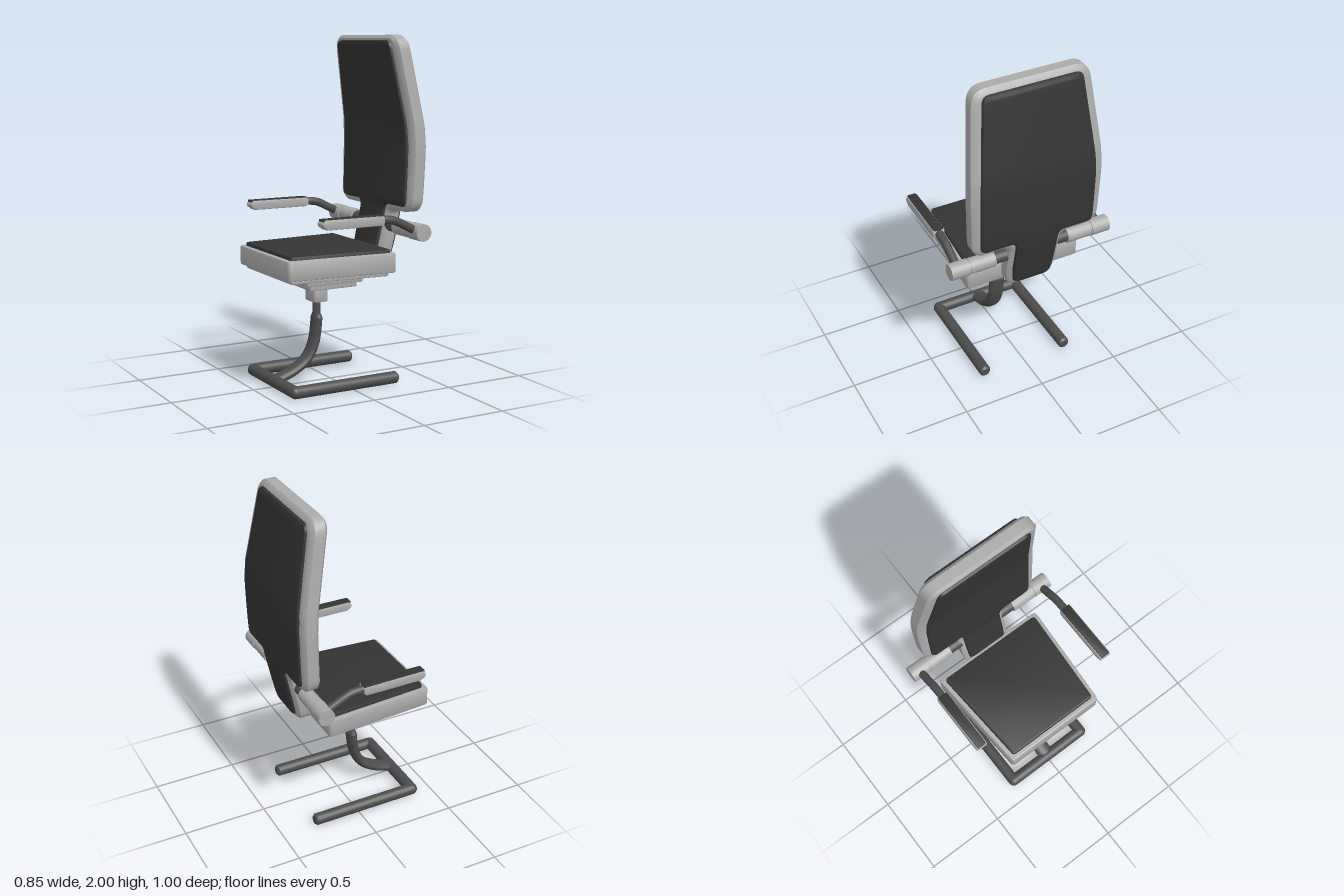
import * as THREE from 'three';
import { toCreasedNormals } from 'three/addons/utils/BufferGeometryUtils.js';

const mat = (name, color) => {
  const m = new THREE.MeshStandardMaterial({ color });
  m.name = name;
  return m;
};

// Backrest centre line: [y, x]
const SPINE = [[0.67, 0.27], [1.0, 0.343], [1.2, 0.352], [1.38, 0.357], [1.5, 0.351], [2.0, 0.265]];
function spineX(y) {
  let i = 0;
  while (i < SPINE.length - 2 && y > SPINE[i + 1][0]) i++;
  const [[y0, x0], [y1, x1]] = [SPINE[i], SPINE[i + 1]];
  return x0 + ((x1 - x0) * (y - y0)) / (y1 - y0);
}

// Half outline [z, y, radius] with rounded corners and subdivided straight runs
function roundPath(corners) {
  const pts = [new THREE.Vector2(corners[0][0], corners[0][1])];
  const lineTo = (p) => {
    const a = pts[pts.length - 1].clone();
    const n = Math.max(1, Math.ceil(a.distanceTo(p) / 0.05));
    for (let k = 1; k <= n; k++) pts.push(a.clone().lerp(p, k / n));
  };
  corners.slice(1).forEach(([z, y, r], j) => {
    const c = new THREE.Vector2(z, y);
    if (!r) return lineTo(c);
    const toward = (q) => new THREE.Vector2(q[0], q[1]).sub(c).setLength(r).add(c);
    const p1 = toward(corners[j]), p2 = toward(corners[j + 2]);
    lineTo(p1);
    pts.push(...new THREE.QuadraticBezierCurve(p1, c, p2).getPoints(6).slice(1));
  });
  return pts;
}

// Mirrored outline swept through [inset, dx] sections and bent along the spine
function bentSlab(corners, sections) {
  const half = roundPath(corners);
  const loop = [...half, ...half.slice(1, -1).reverse().map((p) => new THREE.Vector2(-p.x, p.y))];
  const N = loop.length, pos = [], idx = [];
  for (const [inset, dx] of sections) {
    loop.forEach((p, i) => {
      const t = loop[(i + 1) % N].clone().sub(loop[(i + N - 1) % N]).normalize();
      const z = p.x - t.y * inset, y = p.y + t.x * inset;
      pos.push(spineX(y) + dx, y, z);
    });
  }
  for (let s = 0; s < sections.length - 1; s++) {
    for (let i = 0; i < N; i++) {
      const a = s * N + i, b = s * N + ((i + 1) % N), c = b + N, d = a + N;
      idx.push(a, d, c, a, c, b);
    }
  }
  const last = (sections.length - 1) * N;
  const tri = (a, b, c) => {
    if (a === b || b === c || a === c) return;
    idx.push(last + a, last + b, last + c, a, c, b);
  };
  for (let i = 0; i < half.length - 1; i++) {
    const l0 = (N - i) % N, l1 = N - i - 1;
    tri(i, l0, l1);
    tri(i, l1, i + 1);
  }
  const g = new THREE.BufferGeometry();
  g.setAttribute('position', new THREE.Float32BufferAttribute(pos, 3));
  g.setIndex(idx);
  return toCreasedNormals(g, 0.7);
}

// Horizontal plate: trapezoid plan (half depth h0 at x0, h1 at x1) with soft corners
function plate(x0, x1, h0, h1, y0, y1, bevel, corner) {
  const c = corner, s = new THREE.Shape();
  s.moveTo(x0 + c, -h0);
  s.lineTo(x1 - c, -h1);
  s.quadraticCurveTo(x1, -h1, x1, -h1 + c);
  s.lineTo(x1, h1 - c);
  s.quadraticCurveTo(x1, h1, x1 - c, h1);
  s.lineTo(x0 + c, h0);
  s.quadraticCurveTo(x0, h0, x0, h0 - c);
  s.lineTo(x0, -h0 + c);
  s.quadraticCurveTo(x0, -h0, x0 + c, -h0);
  const g = new THREE.ExtrudeGeometry(s, {
    depth: y1 - y0 - 2 * bevel, bevelThickness: bevel, bevelSize: bevel,
    bevelOffset: -bevel, bevelSegments: 2, curveSegments: 4,
  });
  g.rotateX(-Math.PI / 2);
  g.translate(0, y0 + bevel, 0);
  return toCreasedNormals(g, 0.6);
}

export function createModel() {
  const chair = new THREE.Group();
  chair.name = 'officeChair';
  const shell = mat('light grey shell', 0xababab);
  const fabric = mat('dark upholstery', 0x343434);
  const metal = mat('dark grey metal', 0x4c4c4c);

  const add = (name, geo, material, parent = chair) => {
    const m = new THREE.Mesh(geo, material);
    m.name = name;
    parent.add(m);
    return m;
  };
  const v = (x, y, z) => new THREE.Vector3(x, y, z);
  const rod = (name, a, b, r, material, parent = chair) => {
    const m = add(name, new THREE.CylinderGeometry(r, r, a.distanceTo(b), 20), material, parent);
    m.position.copy(a).lerp(b, 0.5);
    m.quaternion.setFromUnitVectors(v(0, 1, 0), b.clone().sub(a).normalize());
    return m;
  };

  // Backrest: shell frame with a pad showing on both faces
  const back = new THREE.Group();
  back.name = 'backrest';
  back.position.z = -0.004;
  chair.add(back);
  add('backFrame', bentSlab(
    [[0, 0.67], [0.14, 0.67, 0.06], [0.157, 0.8, 0.05], [0.157, 1.005, 0.05],
      [0.39, 1.005, 0.085], [0.402, 1.42, 0.12], [0.342, 2.0, 0.085], [0, 2.0]],
    [[0.045, -0.05], [0.018, -0.047], [0, -0.03], [0, 0.03], [0.018, 0.047], [0.045, 0.05]]), shell, back);
  add('backPad', bentSlab(
    [[0, 0.7], [0.115, 0.7, 0.04], [0.13, 0.8, 0.05], [0.132, 1.035, 0.04],
      [0.35, 1.035, 0.045], [0.353, 1.42, 0.1], [0.295, 1.97, 0.045], [0, 1.97]],
    [[0.025, -0.067], [0.006, -0.062], [0, -0.05], [0, 0.05], [0.006, 0.062], [0.025, 0.067]]), fabric, back);

  // Seat
  const seat = new THREE.Group();
  seat.name = 'seat';
  seat.position.z = -0.006;
  chair.add(seat);
  add('seatShell', plate(-0.43, 0.235, 0.318, 0.36, 0.67, 0.782, 0.008, 0.025), shell, seat);
  add('seatPad', plate(-0.403, 0.21, 0.293, 0.333, 0.76, 0.802, 0.008, 0.02), fabric, seat);
  add('seatUnderside', plate(-0.4, 0.205, 0.29, 0.33, 0.648, 0.68, 0.005, 0.02), shell, seat);

  // Stepped mount and column below the seat
  add('upperMountPlate', plate(-0.27, 0.09, 0.228, 0.228, 0.61, 0.66, 0.005, 0.015), shell);
  add('lowerMountPlate', plate(-0.24, 0.065, 0.2, 0.2, 0.58, 0.62, 0.005, 0.015), shell);
  add('columnSleeve', plate(-0.138, -0.044, 0.06, 0.06, 0.477, 0.59, 0.003, 0.02), shell);
  rod('columnRod', v(-0.092, 0.36, 0), v(-0.092, 0.49, 0), 0.023, metal);

  // Curved flattened stem
  const stemPath = new THREE.CatmullRomCurve3([
    v(-0.092, 0.38, 0), v(-0.096, 0.33, 0), v(-0.112, 0.235, 0),
    v(-0.158, 0.145, 0), v(-0.24, 0.085, 0), v(-0.37, 0.036, 0)]);
  add('stem', new THREE.TubeGeometry(stemPath, 32, 0.029, 20), metal).scale.z = 1.7;
  const stemTop = add('stemTop', new THREE.CylinderGeometry(0.022, 0.029, 0.022, 20), metal);
  stemTop.position.set(-0.092, 0.39, 0);
  stemTop.scale.z = 1.7;

  // U-shaped floor base
  const R = 0.035, legZ = 0.27;
  rod('baseCrossbar', v(-0.37, R, -legZ), v(-0.37, R, legZ), R, metal);

  for (const side of [1, -1]) {
    const label = side > 0 ? 'left' : 'right';
    rod(label + 'BaseLeg', v(-0.37, R, side * legZ), v(0.28, R, side * legZ), R, metal);
    add(label + 'BaseCorner', new THREE.SphereGeometry(R, 20, 12), metal).position.set(-0.37, R, side * legZ);
    const cap = add(label + 'BaseLegEnd', new THREE.CylinderGeometry(0.024, R, 0.012, 20), metal);
    cap.position.set(0.286, R, side * legZ);
    cap.rotation.z = -Math.PI / 2;

    // Armrest: pivot barrels, bent arm and padded rest
    const arm = new THREE.Group();
    arm.name = label + 'Armrest';
    chair.add(arm);
    const px = 0.317, py = 0.91, az = side * 0.445;
    rod('pivotShaft', v(px, py, side * 0.12), v(px, py, side * 0.24), 0.036, metal, arm);
    rod('innerBarrel', v(px, py, side * 0.23), v(px, py, side * 0.383), 0.046, shell, arm);
    rod('barrelNeck', v(px, py, side * 0.38), v(px, py, side * 0.392), 0.042, shell, arm);
    rod('outerBarrel', v(px, py, side * 0.388), v(px, py, side * 0.5), 0.049, shell, arm);
    const armPath = new THREE.CatmullRomCurve3([
      v(0.3, 0.915, az), v(0.235, 0.948, az), v(0.155, 0.985, az), v(0.11, 0.993, az), v(0.05, 0.995, az)]);
    add('armTube', new THREE.TubeGeometry(armPath, 20, 0.024, 16), metal, arm);
    const profile = new THREE.Shape([[-0.31, 1.0], [-0.305, 0.985], [-0.28, 0.967], [0.06, 0.967],
      [0.077, 0.98], [0.077, 1.012], [0.068, 1.021], [-0.295, 1.021]].map((p) => new THREE.Vector2(...p)));
    const rest = new THREE.ExtrudeGeometry(profile, {
      depth: 0.058, bevelThickness: 0.006, bevelSize: 0.006, bevelOffset: -0.006, bevelSegments: 2 });
    rest.translate(0, 0, az - 0.029);
    add('armRestShell', toCreasedNormals(rest, 0.6), shell, arm);
    const pad = plate(-0.305, 0.073, 0.028, 0.031, 1.013, 1.024, 0.002, 0.008);
    add('armRestPad', pad, fabric, arm).position.z = az;
  }
  return chair;
}
